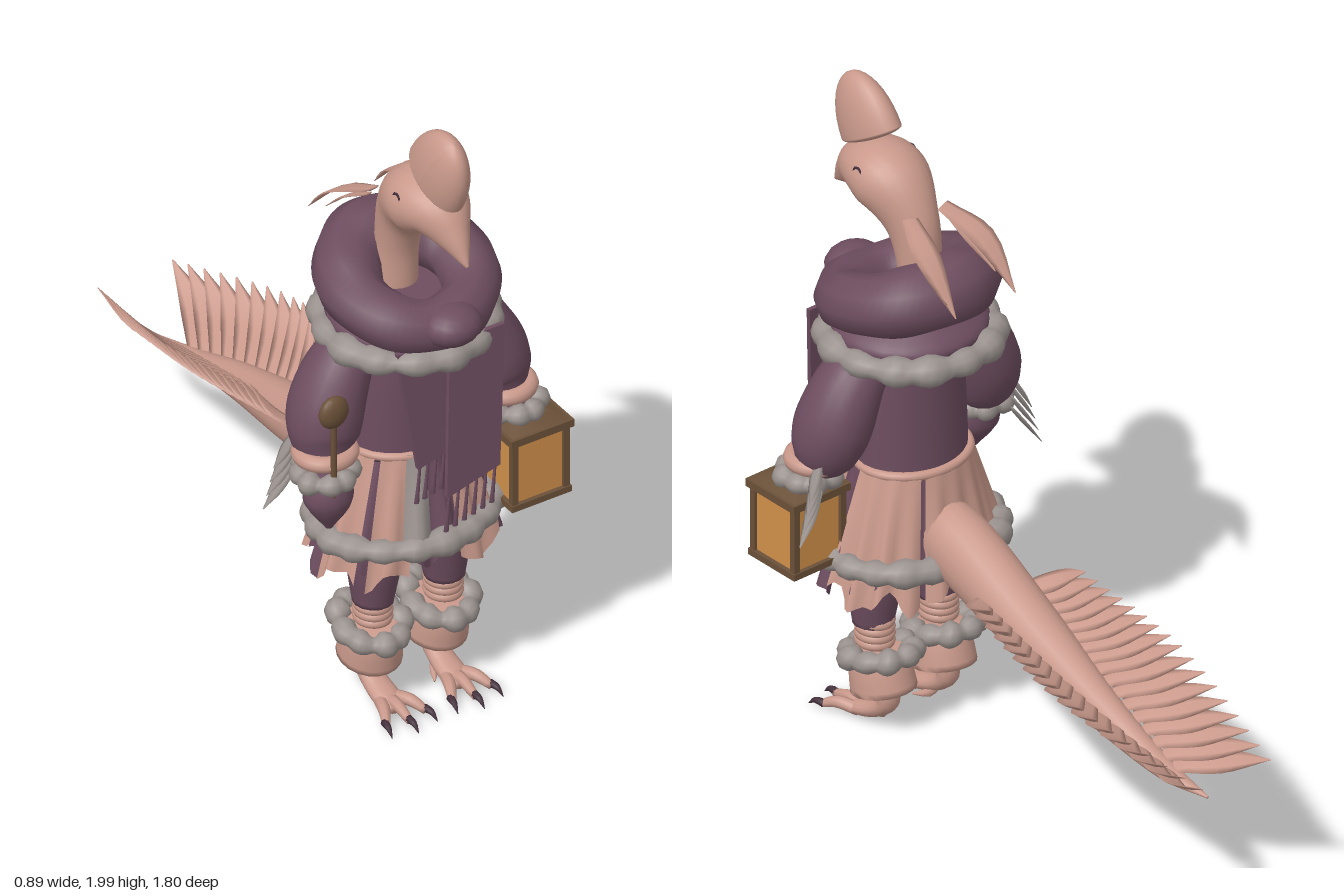
import * as THREE from 'three';
import { mergeVertices } from 'three/addons/utils/BufferGeometryUtils.js';

const V = (x, y, z) => new THREE.Vector3(x, y, z);
const X = V(1, 0, 0);

// Elliptical tube through points with [width, depth] radii; ref steers the width axis
function sweep(pts, radii, ref = X, sides = 14, steps = 20) {
  const path = new THREE.CatmullRomCurve3(pts);
  const size = new THREE.CatmullRomCurve3(radii.map(r => V(r[0], r[1], 0)), false, 'catmullrom', 0.5);
  const pos = [], idx = [];
  for (let i = 0; i <= steps; i++) {
    const t = i / steps, c = path.getPoint(t), r = size.getPoint(t), T = path.getTangent(t);
    const b = T.clone().cross(ref).normalize(), a = b.clone().cross(T);
    for (let j = 0; j < sides; j++) {
      const u = j / sides * Math.PI * 2;
      const p = c.clone().addScaledVector(a, Math.cos(u) * r.x).addScaledVector(b, Math.sin(u) * r.y);
      pos.push(p.x, p.y, p.z);
      if (i < steps) {
        const k = i * sides + j, n = i * sides + (j + 1) % sides;
        idx.push(k, n, k + sides, n, n + sides, k + sides);
      }
    }
  }
  for (let j = 1; j < sides - 1; j++) {
    const e = steps * sides;
    idx.push(0, j + 1, j, e, e + j, e + j + 1);
  }
  const g = new THREE.BufferGeometry();
  g.setAttribute('position', new THREE.Float32BufferAttribute(pos, 3));
  g.setIndex(idx);
  g.computeVertexNormals();
  return g;
}

// Thin pointed feather from p0 to p1
function feather(p0, p1, w, ref, bow = V(0, 0, 0)) {
  const mid = p0.clone().lerp(p1, 0.5).add(bow);
  return sweep([p0, mid, p1], [[w * 0.6, 0.004], [w, 0.004], [0.002, 0.001]], ref, 6, 8);
}

// Horizontal oval ring; size(angle) scales the tube, tilt raises the front
function ring(x, y, z, rx, rz, tube, size = () => 1, tilt = 0) {
  let g = new THREE.TorusGeometry(1, tube, 10, 64);
  g.deleteAttribute('uv');
  g.deleteAttribute('normal');
  g = mergeVertices(g);
  const p = g.attributes.position;
  for (let i = 0; i < p.count; i++) {
    const px = p.getX(i), py = p.getY(i), a = Math.atan2(-py, px), k = size(a);
    const d = (Math.hypot(px, py) - 1) * k;
    p.setXYZ(i, x + Math.cos(a) * (rx + d), y + p.getZ(i) * k + tilt * Math.sin(a), z + Math.sin(a) * (rz + d));
  }
  g.computeVertexNormals();
  return g;
}
const tufts = n => a => 0.8 + 0.45 * Math.abs(Math.sin(a * n / 2)) + 0.12 * Math.sin(a * 5);

// Flared skirt panel between two angles in degrees, zero at the front
function panel(d0, d1, grow, hem) {
  const g = new THREE.PlaneGeometry(1, 1, Math.ceil((d1 - d0) / 4), 8), p = g.attributes.position;
  for (let i = 0; i < p.count; i++) {
    const a = (d0 + (d1 - d0) * (p.getX(i) + 0.5)) * Math.PI / 180, t = 0.5 - p.getY(i);
    const pleat = 0.016 * t * Math.sin(a * 18) + grow;
    const low = hem + 0.03 * Math.sin(a * 9) + 0.015 * Math.sin(a * 17);
    p.setXYZ(i, Math.sin(a) * (0.175 + 0.11 * t + pleat), 0.88 + (low - 0.88) * t,
      0.57 + Math.cos(a) * (0.15 + 0.065 * t + pleat));
  }
  g.computeVertexNormals();
  return g;
}

export function createModel() {
  const root = new THREE.Group();
  const mat = (name, color, side = THREE.FrontSide) => {
    const m = new THREE.MeshStandardMaterial({ color, side });
    m.name = name;
    return m;
  };
  const pink = mat('rose skin', 0xc9998b, THREE.DoubleSide), plum = mat('plum cloth', 0x6d4d5f, THREE.DoubleSide);
  const fur = mat('grey fur', 0x9a928e), brown = mat('brown wood', 0x6b5139);
  const amber = mat('amber glass', 0xd0904a), dark = mat('dark claw', 0x44303c);
  const add = (name, g, m) => {
    const mesh = new THREE.Mesh(g, m);
    mesh.name = name;
    root.add(mesh);
    return mesh;
  };

  // Head, neck and floating crest
  add('headAndNeck', sweep(
    [V(0, 1.34, 0.53), V(0, 1.5, 0.54), V(0, 1.62, 0.575), V(0, 1.71, 0.66), V(0, 1.72, 0.75), V(0, 1.67, 0.83), V(0, 1.605, 0.9)],
    [[0.065, 0.065], [0.065, 0.065], [0.077, 0.085], [0.114, 0.105], [0.1, 0.088], [0.05, 0.052], [0.005, 0.005]], X, 24, 36), pink);
  const dome = new THREE.SphereGeometry(1, 28, 20), dp = dome.attributes.position;
  for (let i = 0; i < dp.count; i++) if (dp.getY(i) < 0) dp.setY(i, dp.getY(i) * 0.1);
  dome.scale(0.065, 0.185, 0.12).rotateX(0.52).translate(0, 1.825, 0.745);
  dome.computeVertexNormals();
  add('crest', dome, pink);

  // Hood roll, knot and fur collar
  add('hoodRoll', ring(0, 1.4, 0.6, 0.175, 0.175, 0.09, a => 1.03 - 0.14 * Math.sin(a) + 0.03 * Math.sin(a * 6), -0.055), plum);
  add('hoodKnot', new THREE.SphereGeometry(1, 16, 12).scale(0.09, 0.06, 0.08).translate(0, 1.365, 0.82), plum);
  add('furCollar', ring(0, 1.255, 0.58, 0.235, 0.235, 0.037, tufts(14)), fur);
  add('shoulderCape', sweep([V(0, 1.36, 0.58), V(0, 1.29, 0.58), V(0, 1.2, 0.58)],
    [[0.15, 0.15], [0.23, 0.22], [0.17, 0.15]], X, 24), plum);

  // Torso, belt and layered skirt
  add('coat', sweep([V(0, 1.3, 0.57), V(0, 1.1, 0.575), V(0, 0.85, 0.575)],
    [[0.15, 0.13], [0.165, 0.135], [0.175, 0.14]], X, 24), plum);
  add('belt', ring(0, 0.87, 0.57, 0.172, 0.145, 0.014), pink);
  add('underSkirt', panel(0, 360, -0.012, 0.55), plum);
  [[14, 56], [86, 152], [156, 250], [270, 304], [310, 338]].forEach(([a, b]) => add('skirtPanel', panel(a, b, 0.004, 0.5), pink));
  [[56, 86], [250, 270]].forEach(([a, b]) => add('skirtSidePanel', panel(a, b, 0, 0.5), plum));
  add('greyApron', panel(334, 352, 0.006, 0.62), fur);
  add('skirtFur', ring(0, 0.6, 0.57, 0.265, 0.215, 0.034, tufts(18)), fur);

  // Two hanging scarf ends with tassels
  const lean = y => 0.785 + (1.28 - y) * 0.1;
  [[-0.02, [[-0.155, 1.29], [0.04, 1.29], [0.05, 0.94], [-0.11, 0.905]]],
    [0.012, [[0.0, 1.29], [0.185, 1.29], [0.14, 0.85], [-0.04, 0.805]]]].forEach(([dz, c]) => {
    const g = new THREE.ExtrudeGeometry(new THREE.Shape(c.map(q => new THREE.Vector2(...q))), { depth: 0.014, bevelEnabled: false });
    const p = g.attributes.position;
    for (let i = 0; i < p.count; i++) p.setZ(i, p.getZ(i) + lean(p.getY(i)) + dz);
    g.computeVertexNormals();
    add('scarfEnd', g, plum);
    const [r, l] = [c[2], c[3]];
    for (let k = 0; k < 6; k++) {
      const t = (k + 0.4) / 5.8, x = l[0] + (r[0] - l[0]) * t, y = l[1] + (r[1] - l[1]) * t, z = lean(y) + dz + 0.007;
      add('tassel', sweep([V(x, y + 0.01, z), V(x - 0.006, y - 0.06, z), V(x - 0.012, y - 0.12, z)],
        [[0.005, 0.004], [0.006, 0.005], [0.009, 0.006]], X, 6, 3), plum);
    }
  });

  for (const s of [1, -1]) {
    // Eyes and ear plumes
    add('closedEye', new THREE.TorusGeometry(0.016, 0.004, 5, 12, Math.PI).rotateY(Math.PI / 2).translate(s * 0.1, 1.755, 0.69), dark);
    add('earPlume', feather(V(s * 0.06, 1.67, 0.51), V(s * 0.11, 1.48, 0.255), 0.042, X, V(s * 0.015, 0.035, 0)), pink);
    add('lowerPlume', feather(V(s * 0.07, 1.65, 0.5), V(s * 0.1, 1.52, 0.33), 0.025, X, V(0, 0.015, 0)), pink);

    // Puffed sleeves, cuffs and mittens
    add('sleeve', sweep([V(s * 0.12, 1.25, 0.57), V(s * 0.21, 1.18, 0.58), V(s * 0.27, 1.06, 0.59), V(s * 0.29, 0.97, 0.61), V(s * 0.3, 0.91, 0.64)],
      [[0.06, 0.07], [0.09, 0.1], [0.108, 0.115], [0.1, 0.1], [0.06, 0.06]], X, 20), plum);
    add('sleeveCuff', ring(s * 0.3, 0.935, 0.63, 0.073, 0.07, 0.025), pink);
    add('cuffFur', ring(s * 0.315, 0.88, 0.65, 0.07, 0.07, 0.028, tufts(8)), fur);
    add('mitten', sweep([V(s * 0.31, 0.9, 0.65), V(s * 0.315, 0.8, 0.67), V(s * 0.32, 0.71, 0.68)],
      [[0.055, 0.055], [0.073, 0.065], [0.01, 0.01]]), plum);
    for (let k = 0; k < 4; k++)
      add('wristFeather', feather(V(s * 0.35, 0.98 - k * 0.035, 0.56), V(s * (0.41 + k * 0.012), 0.86 - k * 0.042, 0.535), 0.022, V(0, 0, 1)), fur);

    // Trousers, boots and clawed feet
    add('trouserLeg', sweep([V(s * 0.1, 0.62, 0.6), V(s * 0.115, 0.48, 0.6), V(s * 0.12, 0.34, 0.6)],
      [[0.08, 0.09], [0.08, 0.082], [0.06, 0.06]]), plum);
    for (let k = 0; k < 4; k++) add('ankleWrap', ring(s * 0.118, 0.35 - k * 0.022, 0.595, 0.04, 0.045, 0.017), pink);
    add('bootFur', ring(s * 0.115, 0.25, 0.575, 0.085, 0.1, 0.03, tufts(9), -0.022), fur);
    add('bootCuff', sweep([V(s * 0.115, 0.26, 0.585), V(s * 0.112, 0.2, 0.578), V(s * 0.11, 0.135, 0.565)],
      [[0.075, 0.08], [0.088, 0.093], [0.093, 0.1]], X, 20, 8), pink);
    add('foot', sweep([V(s * 0.11, 0.17, 0.56), V(s * 0.11, 0.1, 0.545), V(s * 0.11, 0.06, 0.585), V(s * 0.11, 0.032, 0.66), V(s * 0.11, 0.022, 0.71)],
      [[0.04, 0.04], [0.036, 0.03], [0.038, 0.027], [0.042, 0.024], [0.025, 0.014]]), pink);
    for (const d of [-1, 0, 1]) {
      const z = 0.775 - Math.abs(d) * 0.02, x = s * 0.11 + d * 0.066;
      add('toe', sweep([V(s * 0.11 + d * 0.02, 0.03, 0.65), V(s * 0.11 + d * 0.045, 0.037, 0.71), V(x, 0.02, z)],
        [[0.02, 0.018], [0.018, 0.018], [0.012, 0.012]], X, 8, 8), pink);
      add('claw', sweep([V(x, 0.024, z - 0.01), V(x + d * 0.006, 0.024, z + 0.02), V(x + d * 0.01, 0.004, z + 0.045)],
        [[0.012, 0.012], [0.009, 0.009], [0.001, 0.001]], X, 8, 6), dark);
    }
    add('backToe', sweep([V(s * 0.11, 0.06, 0.58), V(s * 0.085, 0.025, 0.6), V(s * 0.06, 0.012, 0.64)],
      [[0.016, 0.016], [0.014, 0.014], [0.003, 0.003]], X, 8, 6), pink);
  }

  // Long tail with two rising rows of feathers
  add('tail', sweep([V(0, 0.67, 0.48), V(0.005, 0.65, 0.36), V(0.035, 0.55, 0.02), V(0.07, 0.44, -0.38), V(0.07, 0.38, -0.62), V(0.06, 0.365, -0.77)],
    [[0.08, 0.1], [0.095, 0.115], [0.085, 0.088], [0.05, 0.055], [0.032, 0.025], [0.004, 0.004]], X, 20, 36), pink);
  const rows = {
    right: [[V(-0.01, 0.6, 0.13), V(0.02, 0.52, -0.23), V(0.06, 0.4, -0.62)], [V(-0.115, 0.7, -0.04), V(-0.145, 0.62, -0.42), V(-0.06, 0.5, -0.9)], -1],
    left: [[V(0.09, 0.6, 0.15), V(0.11, 0.51, -0.22), V(0.085, 0.4, -0.62)], [V(0.225, 0.7, -0.03), V(0.28, 0.62, -0.42), V(0.19, 0.5, -0.9)], 1],
  };
  for (const [side, [bases, tips, s]] of Object.entries(rows)) {
    const b = new THREE.CatmullRomCurve3(bases), e = new THREE.CatmullRomCurve3(tips);
    for (let i = 0; i < 17; i++) {
      const p0 = b.getPoint(i / 16), p1 = e.getPoint(i / 16);
      const across = V(-s * 0.5, 0.85, 0.1).cross(p1.clone().sub(p0)).normalize();
      add(side + 'TailFeather', feather(p0, p1, 0.04, across, V(s * 0.025, -0.012, 0.01)), pink);
    }
  }

  // Lantern held in the left hand
  const box = (name, w, h, d, x, y, z, m) => add(name, new THREE.BoxGeometry(w, h, d).translate(x, y, z), m);
  const lx = 0.332, lz = 0.675;
  box('lanternGlass', 0.172, 0.23, 0.172, lx, 0.72, lz, amber);
  box('lanternBase', 0.2, 0.02, 0.2, lx, 0.61, lz, brown);
  box('lanternRoof', 0.21, 0.024, 0.21, lx, 0.835, lz, brown);
  add('lanternTop', new THREE.CylinderGeometry(0.08, 0.135, 0.02, 4).rotateY(Math.PI / 4).translate(lx, 0.857, lz), brown);
  for (const i of [-1, 1]) for (const j of [-1, 1])
    box('lanternPost', 0.02, 0.23, 0.02, lx + i * 0.086, 0.72, lz + j * 0.086, brown);

  // Mallet held in the right hand
  add('malletStick', new THREE.CylinderGeometry(0.009, 0.009, 0.28, 8).translate(-0.33, 0.98, 0.72), brown);
  add('malletHead', new THREE.SphereGeometry(1, 16, 12).scale(0.048, 0.052, 0.026).translate(-0.33, 1.13, 0.72), brown);
  return root;
}
